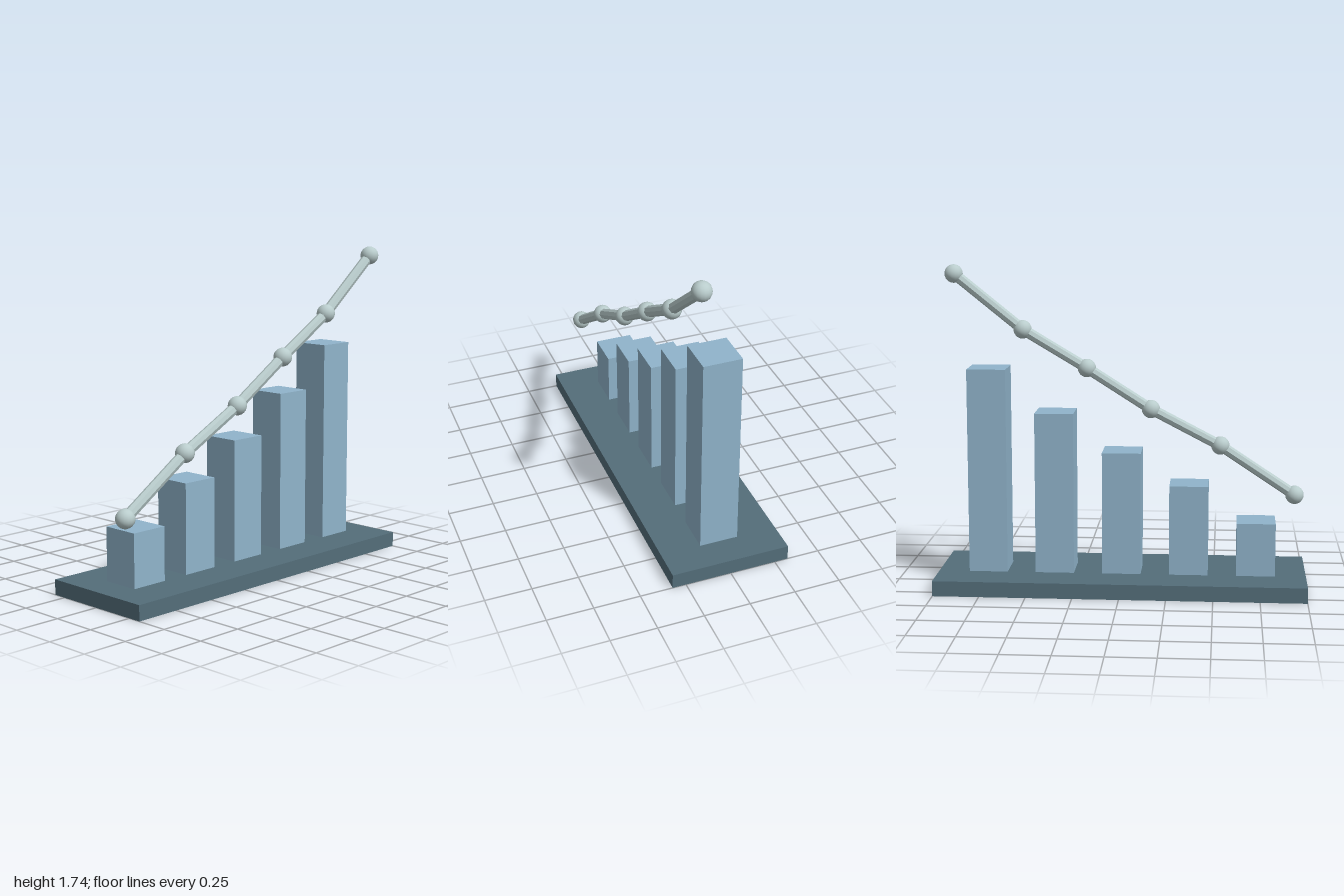
import * as THREE from 'three';

export function createModel() {
  const slate = new THREE.MeshStandardMaterial({ color: 0x546e7a });
  slate.name = 'slate blue';
  const blue = new THREE.MeshStandardMaterial({ color: 0x90b4cb });
  blue.name = 'light blue';
  const pale = new THREE.MeshStandardMaterial({ color: 0xb9cccc });
  pale.name = 'pale grey';

  const model = new THREE.Group();
  model.name = 'barChart';
  const add = (name, geometry, material, x, y, z) => {
    const mesh = new THREE.Mesh(geometry, material);
    mesh.name = name;
    mesh.position.set(x, y, z);
    model.add(mesh);
    return mesh;
  };

  // Base plate
  const baseTop = 0.083;
  add('base', new THREE.BoxGeometry(2, baseTop, 0.647), slate, 0, baseTop / 2, 0);

  // Rising bars
  [0.373, 0.573, 0.75, 0.961, 1.197].forEach((top, i) => {
    const height = top - baseTop;
    add(`bar${i + 1}`, new THREE.BoxGeometry(0.21, height, 0.21), blue,
      (i - 2) * 0.364, baseTop + height / 2, 0);
  });

  // Trend line: balls joined by faceted rods
  const points = [
    [-0.942, 0.478], [-0.53, 0.75], [-0.145, 0.95],
    [0.209, 1.175], [0.563, 1.386], [0.94, 1.69],
  ].map(([x, y]) => new THREE.Vector3(x, y, 0.164));
  const ball = new THREE.SphereGeometry(0.051, 16, 12);
  const up = new THREE.Vector3(0, 1, 0);
  points.forEach((p, i) => {
    add(`trendBall${i + 1}`, ball, pale, p.x, p.y, p.z);
    if (i === 0) return;
    const from = points[i - 1];
    const span = p.clone().sub(from);
    const mid = p.clone().add(from).multiplyScalar(0.5);
    const geometry = new THREE.CylinderGeometry(0.03, 0.03, span.length(), 8).toNonIndexed();
    geometry.computeVertexNormals();
    const rod = add(`trendRod${i}`, geometry, pale, mid.x, mid.y, mid.z);
    rod.quaternion.setFromUnitVectors(up, span.normalize());
  });

  return model;
}
